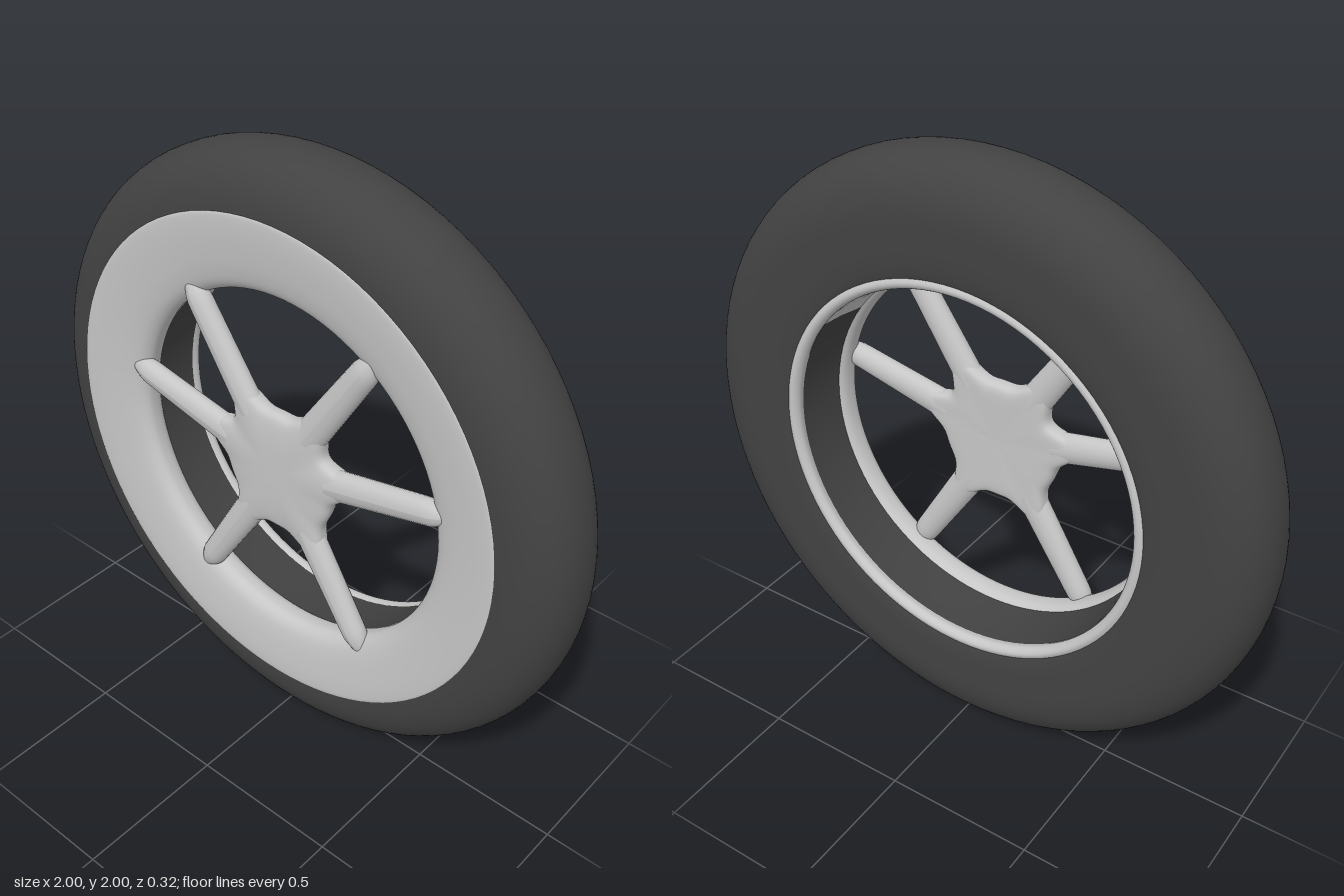
import * as THREE from 'three';
import { mergeVertices } from 'three/addons/utils/BufferGeometryUtils.js';

export function createModel() {
  const rubber = new THREE.MeshStandardMaterial({ color: 0x424242 });
  rubber.name = 'dark rubber';
  const metal = new THREE.MeshStandardMaterial({ color: 0xc6c6c6 });
  metal.name = 'pale metal';

  const wheel = new THREE.Group();
  wheel.name = 'wheel';
  wheel.position.y = 1;
  const add = (name, geometry, material) => {
    const mesh = new THREE.Mesh(geometry, material);
    mesh.name = name;
    wheel.add(mesh);
  };
  const rad = THREE.MathUtils.degToRad;
  const points = (list) => list.map(([r, z]) => new THREE.Vector2(r, z));
  // Profiles are [radius, z], turned so the axle lies along z; angles start at +x
  const ring = (profile, from = 0, to = 360) =>
    new THREE.LatheGeometry(profile, Math.ceil((to - from) * 0.27), rad(from + 90), rad(to - from)).rotateX(Math.PI / 2);
  const smooth = (list, n) => new THREE.SplineCurve(points(list)).getPoints(n);

  // Tyre: flat back wall and rounded, slightly square tread
  const tyre = points([[0.645, -0.15], [0.67, -0.158], [0.72, -0.16]]);
  for (let i = 0; i <= 32; i++) {
    const a = -Math.PI / 2 + (Math.PI * i) / 32;
    const s = Math.sin(a);
    tyre.push(new THREE.Vector2(
      0.8 + 0.2 * Math.pow(Math.max(Math.cos(a), 0), 0.84),
      0.16 * Math.sign(s) * Math.pow(Math.abs(s), 0.92),
    ));
  }
  add('tyre', ring(tyre), rubber);

  // Front rim face, dished and rolled into the opening; its outer edge sits a little off centre
  const rim = ring(smooth([
    [0.818, 0.15], [0.817, 0.161], [0.77, 0.162], [0.71, 0.157], [0.655, 0.149],
    [0.612, 0.136], [0.588, 0.113], [0.585, 0.085], [0.592, 0.06], [0.612, 0.04],
  ], 44));
  const v = rim.attributes.position;
  for (let i = 0; i < v.count; i++) {
    const shift = Math.max(0, Math.hypot(v.getX(i), v.getY(i)) - 0.62) / 0.2;
    v.setXY(i, v.getX(i) - 0.012 * shift, v.getY(i) + 0.01 * shift);
  }
  add('rimFace', rim, metal);

  // Inner barrel with one bare metal stretch, and the back lip
  const barrel = points([[0.6, 0.075], [0.604, 0.03], [0.613, -0.04], [0.617, -0.125]]);
  add('barrel', ring(barrel, 66, 396), rubber);
  add('bareBarrel', ring(barrel, 36, 66), metal);
  add('backLip', ring(smooth([
    [0.617, -0.115], [0.612, -0.136], [0.621, -0.152], [0.635, -0.157], [0.65, -0.15],
  ], 14)), metal);

  // Spoke directions, mirrored left and right
  const angles = [56.5, 12.5, -58].flatMap((d) => [d, 180 - d]).map(rad);

  // Hub disc whose edge swells out to meet each spoke
  let hub = new THREE.LatheGeometry(smooth([
    [0, 0.088], [0.5, 0.086], [0.85, 0.086], [0.97, 0.097], [1, 0.12],
    [0.97, 0.138], [0.85, 0.15], [0.5, 0.157], [0, 0.158],
  ], 32), 144).rotateX(Math.PI / 2);
  const p = hub.attributes.position;
  for (let i = 0; i < p.count; i++) {
    const a = Math.atan2(p.getY(i), p.getX(i));
    let edge = 0.211;
    for (const s of angles) {
      const d = Math.atan2(Math.sin(a - s), Math.cos(a - s));
      edge += 0.09 * Math.exp(-((d / 0.22) ** 2));
    }
    p.setXY(i, p.getX(i) * edge, p.getY(i) * edge);
  }
  hub.deleteAttribute('normal');
  hub.deleteAttribute('uv');
  hub = mergeVertices(hub, 1e-5);
  hub.computeVertexNormals();
  add('hub', hub, metal);

  // Rounded spokes: taper outward, then sink to a point in the rim
  for (const angle of angles) {
    const spoke = new THREE.CylinderGeometry(1, 1, 1, 18, 20, true);
    const q = spoke.attributes.position;
    for (let i = 0; i < q.count; i++) {
      const t = q.getY(i) + 0.5;
      const tip = Math.sqrt(1 - THREE.MathUtils.smoothstep(t, 0.78, 1) * 0.98);
      const width = (0.054 - 0.013 * t) * tip;
      const depth = 0.036 * tip;
      q.setXYZ(i, q.getX(i) * width, 0.2 + 0.47 * t, 0.12 + q.getZ(i) * depth);
    }
    spoke.computeVertexNormals();
    add('spoke', spoke.rotateZ(angle - Math.PI / 2), metal);
  }

  const model = new THREE.Group();
  model.name = 'model';
  model.add(wheel);
  return model;
}
